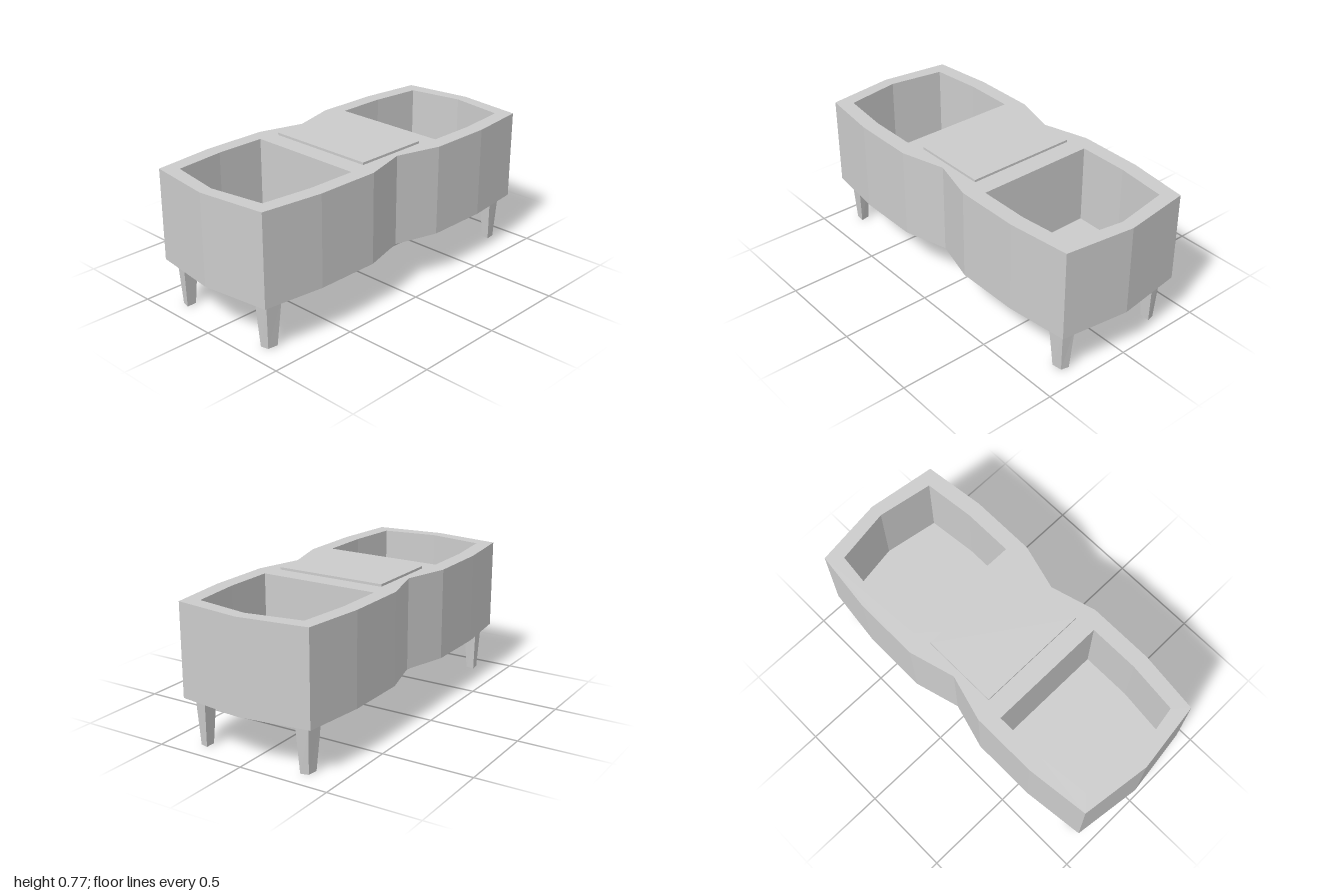
import * as THREE from 'three';

const BASE = 0.26, FLOOR = 0.32, RIM = 0.76;

// Mirror a half outline [x, y] (running from -y to +y) across an axis
const outline = [
  [0, -0.35], [0.25, -0.42], [0.61, -0.42], [0.95, -0.38], [1, 0],
  [0.95, 0.38], [0.61, 0.42], [0.25, 0.42], [0, 0.35],
  [-0.25, 0.42], [-0.61, 0.42], [-0.95, 0.38], [-1, 0],
  [-0.95, -0.38], [-0.61, -0.42], [-0.25, -0.42],
];
const pocket = [
  [0.32, -0.335], [0.6, -0.335], [0.88, -0.305], [0.93, 0],
  [0.88, 0.305], [0.6, 0.335], [0.32, 0.335],
];
const pockets = [pocket, pocket.map(([x, z]) => [-x, z]).reverse()];

const vectors = (points) => points.map(([x, y]) => new THREE.Vector2(x, y));

// Skin between stacked rings, lowest first; points run anticlockwise from above
function loft(rings, cap = false) {
  const pos = [];
  const at = (ring, i) => {
    const [x, y] = ring.points[i % ring.points.length];
    return [x, ring.y, -y];
  };
  const n = rings[0].points.length;
  for (let r = 0; r < rings.length - 1; r++) {
    const a = rings[r], b = rings[r + 1];
    for (let i = 0; i < n; i++) {
      pos.push(...at(a, i), ...at(a, i + 1), ...at(b, i + 1));
      pos.push(...at(a, i), ...at(b, i + 1), ...at(b, i));
    }
  }
  if (cap) {
    for (let i = 1; i < n - 1; i++) pos.push(...at(rings[0], 0), ...at(rings[0], i + 1), ...at(rings[0], i));
  }
  const geometry = new THREE.BufferGeometry();
  geometry.setAttribute('position', new THREE.Float32BufferAttribute(pos, 3));
  geometry.computeVertexNormals();
  return geometry;
}

// Horizontal face at height y, with optional holes
function flat(points, y, holes = [], up = true) {
  const shape = new THREE.Shape(vectors(points));
  holes.forEach((h) => shape.holes.push(new THREE.Path(vectors(h))));
  return new THREE.ShapeGeometry(shape).rotateX(up ? -Math.PI / 2 : Math.PI / 2).translate(0, y, 0);
}

export function createModel() {
  const model = new THREE.Group();
  const material = new THREE.MeshStandardMaterial({ color: 0xcccccc, flatShading: true });
  const add = (name, geometry, parent = model) => {
    const mesh = new THREE.Mesh(geometry, material);
    mesh.name = name;
    parent.add(mesh);
    return mesh;
  };

  // Waisted body with open rim
  const body = new THREE.Group();
  body.name = 'body';
  model.add(body);
  add('outerWall', loft([{ points: outline, y: BASE }, { points: outline, y: RIM }]), body);
  add('rim', flat(outline, RIM, pockets), body);
  add('underside', flat(outline, BASE, [], false), body);

  // Two deep compartments
  pockets.forEach((p, i) => {
    const side = i === 0 ? 'left' : 'right';
    const inner = [...p].reverse();
    add(side + 'CompartmentWall', loft([{ points: inner, y: FLOOR }, { points: inner, y: RIM }]), body);
    add(side + 'CompartmentFloor', flat(p, FLOOR), body);
  });

  // Thin lid in the middle
  add('lid', new THREE.BoxGeometry(0.425, 0.013, 0.625)).position.y = RIM + 0.0065;

  // Tapered legs, each flaring into a shallow collar under the body
  const foot = [[0.893, -0.328], [0.903, -0.285], [0.848, -0.285], [0.838, -0.335]];
  const top = [[0.907, -0.34], [0.92, -0.272], [0.83, -0.272], [0.818, -0.35]];
  const collar = [[0.95, -0.38], [1, 0], [0.61, 0], [0.61, -0.42]];
  for (const sx of [1, -1]) {
    for (const sz of [1, -1]) {
      const mirror = (points) => {
        const m = points.map(([x, y]) => [x * sx, y * sz]);
        return sx * sz < 0 ? m.reverse() : m;
      };
      const name = (sz > 0 ? 'front' : 'back') + (sx > 0 ? 'Left' : 'Right') + 'Leg';
      add(name, loft([
        { points: mirror(foot), y: 0 },
        { points: mirror(top), y: 0.252 },
        { points: mirror(collar), y: BASE },
      ], true));
    }
  }
  return model;
}
